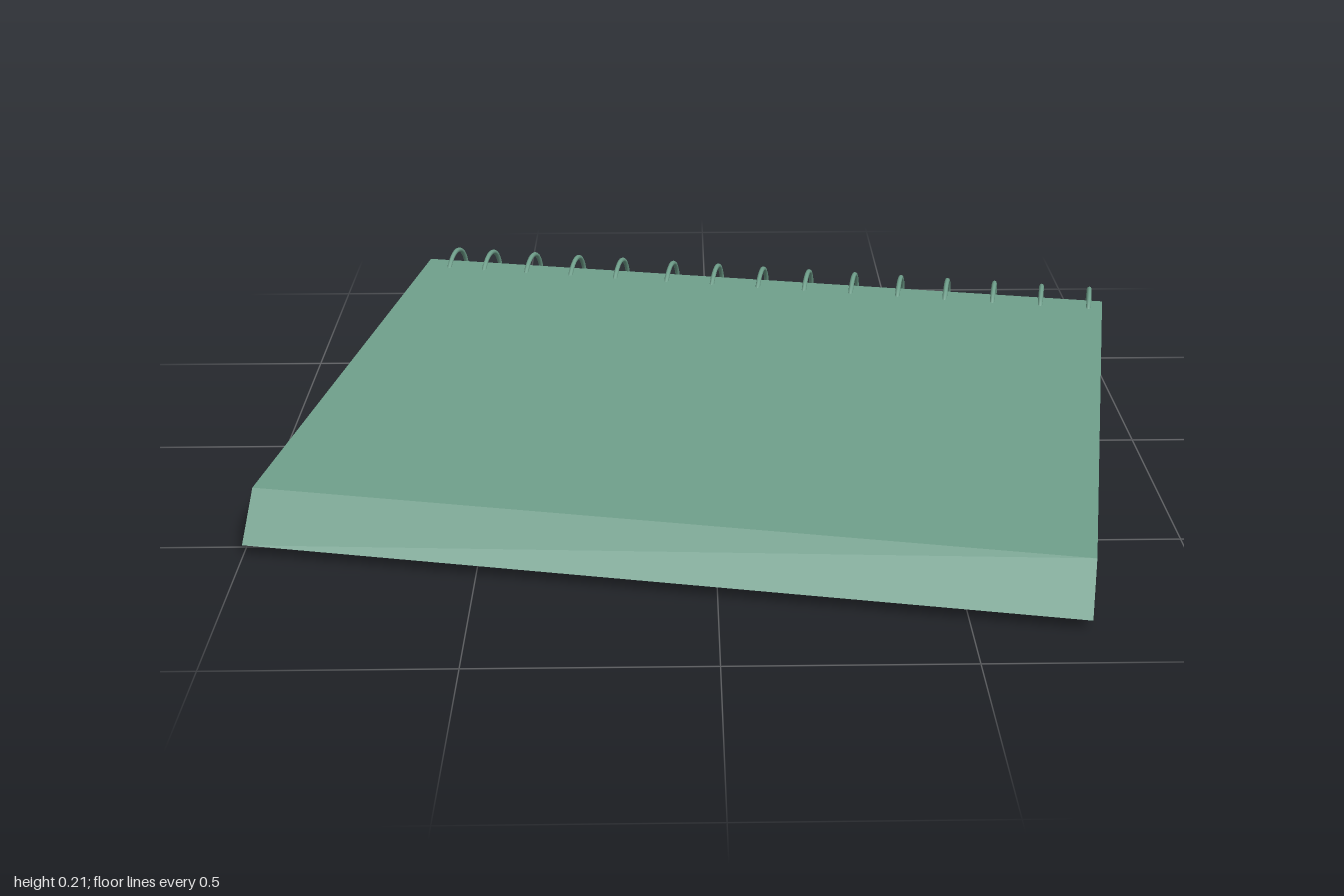
import * as THREE from 'three';

const WIDTH = 1.77;

export function createModel() {
  const group = new THREE.Group();
  const green = new THREE.MeshStandardMaterial({ color: 0x6f9f8b });

  // Notepad lies slightly turned on the table
  const notepad = new THREE.Group();
  notepad.name = 'notepad';
  notepad.position.z = 0.05;
  notepad.rotation.y = -0.196;
  group.add(notepad);

  // Wedge-shaped page block with a slanted front edge: side profile as (-z, y)
  const profile = new THREE.Shape([
    [-0.676, 0.026], [0.676, 0.026], [0.676, 0.181], [-0.595, 0.122],
  ].map(([x, y]) => new THREE.Vector2(x, y)));
  const blockGeometry = new THREE.ExtrudeGeometry(profile, { depth: WIDTH, bevelEnabled: false });
  blockGeometry.rotateY(Math.PI / 2).translate(-WIDTH / 2, 0, 0);
  const pageBlock = new THREE.Mesh(blockGeometry, green);
  pageBlock.name = 'pageBlock';
  notepad.add(pageBlock);

  // Binding rings along the back edge, a little closer together at the left end
  const ringGeometry = new THREE.TorusGeometry(0.097, 0.006, 8, 40).rotateY(Math.PI / 2);
  const rings = new THREE.Group();
  rings.name = 'bindingRings';
  const positions = [-0.82, -0.725, -0.61];
  for (let i = 0; i < 2; i++) positions.push(-0.49 + i * 0.12);
  for (let i = 0; i < 10; i++) positions.push(-0.233 + i * 0.1205);
  for (const x of positions) {
    const ring = new THREE.Mesh(ringGeometry, green);
    ring.name = 'bindingRing';
    ring.position.set(x, 0.103, -0.692);
    rings.add(ring);
  }
  notepad.add(rings);

  return group;
}
